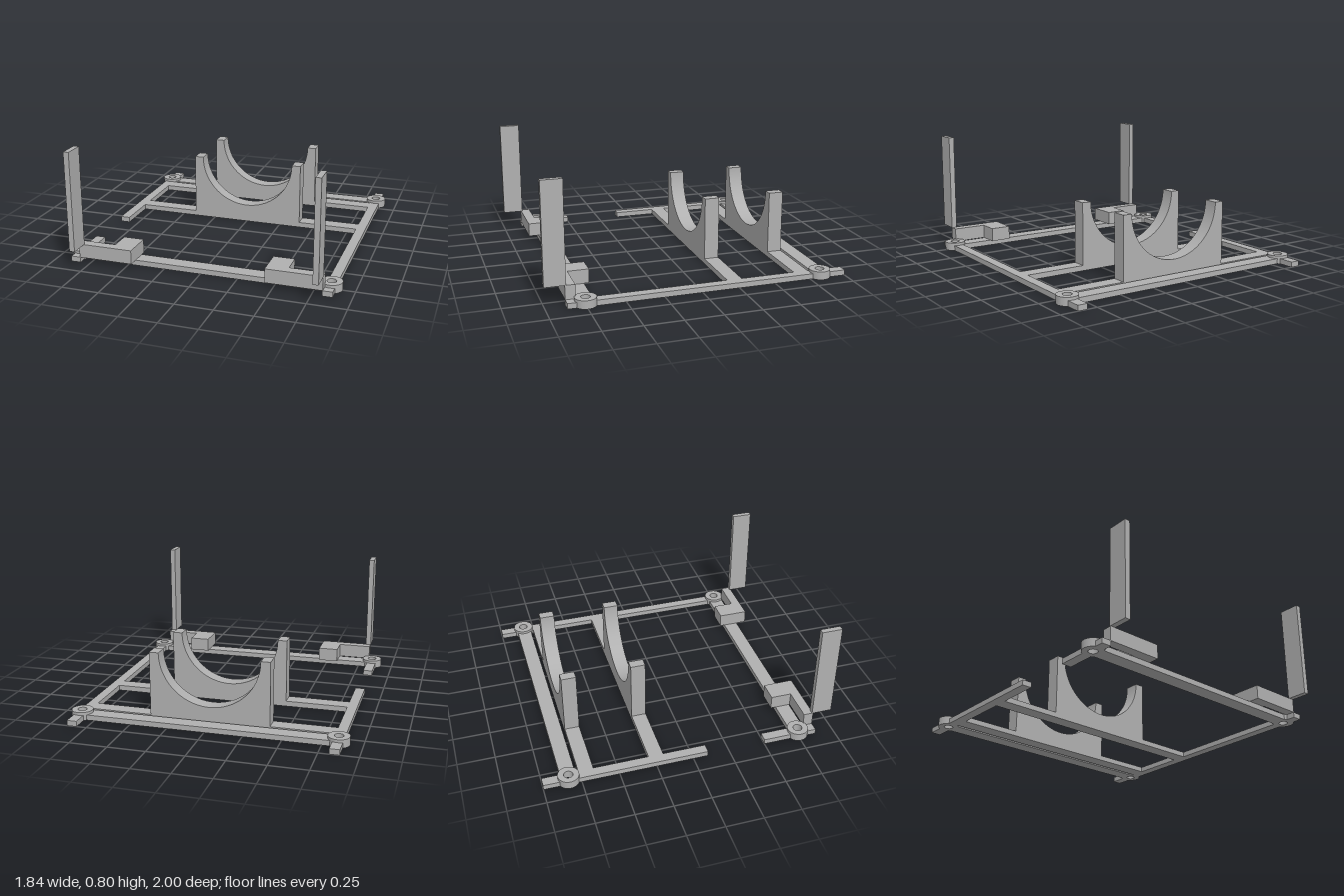
import * as THREE from 'three';

export function createModel() {
  const model = new THREE.Group();
  model.name = 'cradleFrame';
  const grey = new THREE.MeshStandardMaterial({ color: 0xb0b0b0 });
  grey.name = 'plain grey';

  const RAIL_X = 0.85, RAIL_H = 0.036, BACK_Z = -0.83, FRONT_Z = 0.75;

  function add(name, geometry) {
    const mesh = new THREE.Mesh(geometry, grey);
    mesh.name = name;
    model.add(mesh);
    return mesh;
  }
  // Box given by its limits on each axis
  function box(name, x0, x1, y0, y1, z0, z1) {
    const a = Math.min(x0, x1), b = Math.max(x0, x1);
    add(name, new THREE.BoxGeometry(b - a, y1 - y0, z1 - z0))
      .position.set((a + b) / 2, (y0 + y1) / 2, (z0 + z1) / 2);
  }

  // Side rails, interrupted at the screw rings so the holes stay open
  const gap = 0.05, half = 0.033;
  const rail = (side, z0, z1) =>
    box('sideRail', side * RAIL_X - half, side * RAIL_X + half, 0, RAIL_H, z0, z1);
  for (const s of [-1, 1]) {
    rail(s, -1, BACK_Z - gap);
    rail(s, FRONT_Z + gap, 0.87);
  }
  rail(1, BACK_Z + gap, FRONT_Z - gap);
  rail(-1, BACK_Z + gap, 0.1);
  rail(-1, 0.5, FRONT_Z - gap);

  // Crossbars
  for (const z of [BACK_Z, -0.71, -0.24, FRONT_Z])
    box('crossbar', -0.817, 0.817, 0, RAIL_H, z - 0.05, z + 0.05);

  // Screw rings at the corners
  const ring = new THREE.Shape().absarc(0, 0, 0.07, 0, Math.PI * 2, false);
  ring.holes.push(new THREE.Path().absarc(0, 0, 0.03, 0, Math.PI * 2, true));
  const ringGeometry = new THREE.ExtrudeGeometry(ring, { depth: 0.055, bevelEnabled: false, curveSegments: 32 });
  ringGeometry.rotateX(-Math.PI / 2);
  for (const x of [-RAIL_X, RAIL_X])
    for (const z of [BACK_Z, FRONT_Z]) add('screwRing', ringGeometry).position.set(x, 0, z);

  // Round-bottomed cradles
  const cradle = new THREE.Shape();
  cradle.moveTo(-0.4, RAIL_H);
  cradle.lineTo(0.4, RAIL_H);
  cradle.lineTo(0.4, 0.462);
  cradle.lineTo(0.337, 0.462);
  cradle.absarc(0, 0.462, 0.337, 0, -Math.PI, true);
  cradle.lineTo(-0.4, 0.462);
  cradle.closePath();
  const cradleGeometry = new THREE.ExtrudeGeometry(cradle, { depth: 0.1, bevelEnabled: false, curveSegments: 48 });
  for (const z of [-0.76, -0.29]) add('cradle', cradleGeometry).position.z = z;

  // L-shaped front blocks with upright posts
  for (const s of [-1, 1]) {
    box('blockFoot', s * 0.45, s * 0.59, RAIL_H, 0.13, 0.665, 0.87);
    box('blockArm', s * 0.59, s * 0.82, RAIL_H, 0.13, 0.805, 0.87);
    box('post', s * 0.785, s * 0.822, 0.13, 0.8, 0.862, 1);
  }
  return model;
}
